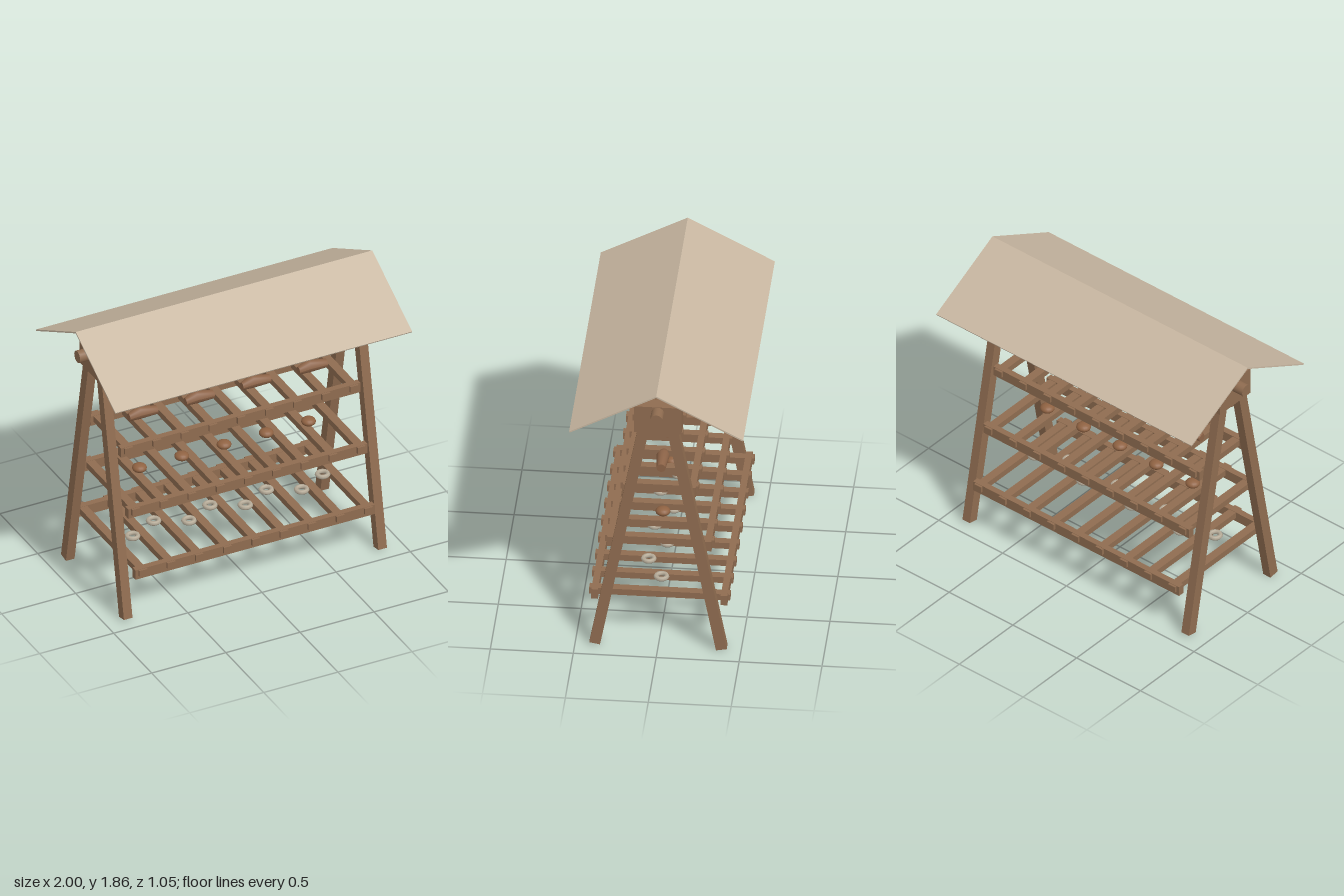
import * as THREE from 'three';

const material = (name, color, side = THREE.FrontSide) => {
  const m = new THREE.MeshStandardMaterial({ color, side });
  m.name = name;
  return m;
};

export function createModel() {
  const model = new THREE.Group();
  model.name = 'dryingRack';
  const wood = material('wood', 0x8f6c50);
  const hide = material('hide', 0xc8b7a1, THREE.DoubleSide);
  const meat = material('driedMeat', 0x8c6347);
  const bread = material('bread', 0x8f6242);
  const bone = material('bone', 0xb8ad9a);

  const add = (name, geometry, mat, x = 0, y = 0, z = 0, parent = model) => {
    const mesh = new THREE.Mesh(geometry, mat);
    mesh.name = name;
    mesh.position.set(x, y, z);
    parent.add(mesh);
    return mesh;
  };
  const polygon = (points) => new THREE.Shape(points.map(([x, y]) => new THREE.Vector2(x, y)));

  // Thin gabled roof, extruded along x
  const roofShape = polygon([[-0.525, 1.58], [0, 1.86], [0.525, 1.58], [0.521, 1.572], [0, 1.85], [-0.521, 1.572]]);
  const roofGeo = new THREE.ExtrudeGeometry(roofShape, { depth: 2, bevelEnabled: false });
  roofGeo.translate(0, 0, -1).rotateY(Math.PI / 2);
  add('roof', roofGeo, hide);

  // Ridge pole
  const poleGeo = new THREE.CylinderGeometry(0.039, 0.039, 1.98, 16).rotateZ(Math.PI / 2);
  add('ridgePole', poleGeo, wood, 0, 1.68, 0);

  // A-frames: a head block and two leaning legs at each end
  const lean = Math.atan2(0.292, 1.53);
  const legLength = 1.6;
  const legGeo = new THREE.BoxGeometry(0.058, legLength, 0.066).translate(0, legLength / 2, 0);
  const blockGeo = new THREE.BoxGeometry(0.09, 0.183, 0.285);
  for (const sx of [-1, 1]) {
    add('headBlock', blockGeo, wood, sx * 0.858, 1.629, 0);
    for (const sz of [-1, 1]) {
      add('leg', legGeo, wood, sx * 0.858, 0.006, sz * 0.382).rotation.x = -sz * lean;
    }
  }

  // Four shelves: two long rails joined by nine cross slats
  const railGeo = new THREE.BoxGeometry(1.614, 0.066, 0.04);
  for (let s = 0; s < 4; s++) {
    const shelf = new THREE.Group();
    shelf.name = 'shelf';
    shelf.position.y = 0.34 + s * 0.38;
    model.add(shelf);
    const railZ = 0.39 - s * 0.095;
    for (const sz of [-1, 1]) add('rail', railGeo, wood, 0, -0.034, sz * railZ, shelf);
    const slatGeo = new THREE.BoxGeometry(0.054, 0.041, 2 * (railZ + 0.035));
    for (let i = -4; i <= 4; i++) add('slat', slatGeo, wood, i * 0.19, -0.0235, 0, shelf);
  }

  // Bone rings on the bottom shelf, staggered in depth
  const ringGeo = new THREE.TorusGeometry(0.033, 0.0145, 6, 16).rotateX(Math.PI / 2);
  for (let i = 0; i < 8; i++) {
    add('ring', ringGeo, bone, (i - 3.5) * 0.19, 0.366, i % 2 ? 0 : 0.095);
  }

  // Flattened loaves on the second shelf
  const loafGeo = new THREE.SphereGeometry(0.045, 16, 10).scale(1, 0.6, 1);
  for (let i = -2; i <= 2; i++) add('loaf', loafGeo, bread, i * 0.285, 0.771, 0);

  // Meat cuts on the third shelf: flat-bottomed lofts with a hump
  const cutGeo = new THREE.CylinderGeometry(1, 1, 1, 14, 2).rotateZ(Math.PI / 2);
  const sections = [[-0.071, 0.024], [-0.001, 0.04], [0.117, 0.027]];
  const pos = cutGeo.attributes.position;
  for (let i = 0; i < pos.count; i++) {
    const [x, r] = sections[Math.round((pos.getX(i) + 0.5) * 2)];
    pos.setXYZ(i, x, r + pos.getY(i) * r, pos.getZ(i) * r);
  }
  cutGeo.computeVertexNormals();
  for (let i = 0; i < 4; i++) add('meatCut', cutGeo, meat, (i - 1.5) * 0.381, 1.124, 0);

  // Stretched skin hanging below the ridge
  const skinShape = polygon([
    [0, 1.582], [-0.3, 1.479], [-0.24, 1.43], [-0.21, 1.392], [0, 1.418],
    [0.21, 1.392], [0.24, 1.43], [0.3, 1.479],
  ]);
  const skinGeo = new THREE.ExtrudeGeometry(skinShape, { depth: 0.025, bevelEnabled: false });
  add('hangingSkin', skinGeo, hide, 0, 0, -0.0125);

  return model;
}
